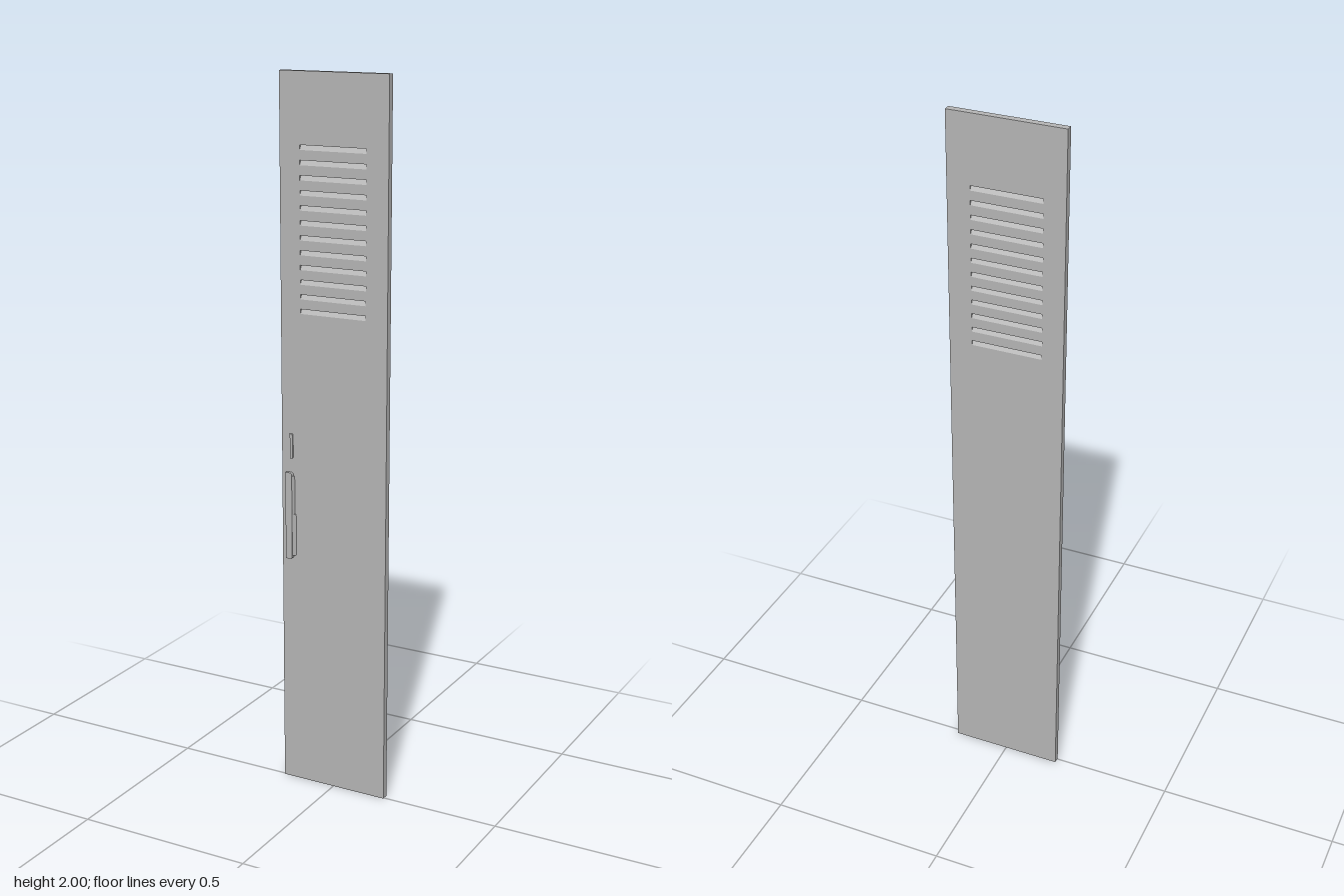
import * as THREE from 'three';

const BACK = -0.015, FRONT = 0.004;

export function createModel() {
  const model = new THREE.Group();
  const steel = new THREE.MeshStandardMaterial({ color: 0xb4b4b4 });
  steel.name = 'grey steel';

  const add = (name, geometry, parent = model) => {
    const mesh = new THREE.Mesh(geometry, steel);
    mesh.name = name;
    parent.add(mesh);
    return mesh;
  };
  const box = (name, x0, x1, y0, y1, z0, z1) =>
    add(name, new THREE.BoxGeometry(x1 - x0, y1 - y0, z1 - z0))
      .position.set((x0 + x1) / 2, (y0 + y1) / 2, (z0 + z1) / 2);

  // Door: solid stiles and rails around the louvred field
  const left = -0.1, right = 0.096, low = 1.34, high = 1.84;
  box('doorStileRight', -0.16, left, 0, 2, BACK, FRONT);
  box('doorStileLeft', right, 0.16, 0, 2, BACK, FRONT);
  box('doorLowerPanel', left, right, 0, low, BACK, FRONT);
  box('doorUpperPanel', left, right, high, 2, BACK, FRONT);

  // Louvres: a side profile notched on both faces, run across the door
  const count = 12, pitch = 0.0394, slotHeight = 0.013, depth = 0.007;
  const profile = new THREE.Shape();
  profile.moveTo(FRONT, low);
  const slotY = i => 1.365 + i * pitch;
  for (let i = 0; i < count; i++) {
    const y = slotY(i);
    profile.lineTo(FRONT, y);
    profile.lineTo(FRONT - depth, y + slotHeight);
    profile.lineTo(FRONT, y + slotHeight);
  }
  profile.lineTo(FRONT, high);
  profile.lineTo(BACK, high);
  for (let i = count - 1; i >= 0; i--) {
    const y = slotY(i);
    profile.lineTo(BACK, y + slotHeight);
    profile.lineTo(BACK + depth, y + slotHeight);
    profile.lineTo(BACK, y);
  }
  profile.lineTo(BACK, low);
  const louvres = new THREE.ExtrudeGeometry(profile, { depth: right - left, bevelEnabled: false });
  louvres.rotateY(-Math.PI / 2); // profile depth to z, run to -x
  louvres.translate(right, 0, 0);
  add('louvrePanel', louvres);

  // Upright plate with rounded corners on its inner edge
  const plate = (x0, x1, y0, y1, r, thickness) => {
    const s = new THREE.Shape();
    s.moveTo(x0, y0);
    s.lineTo(x1 - r, y0);
    s.quadraticCurveTo(x1, y0, x1, y0 + r);
    s.lineTo(x1, y1 - r);
    s.quadraticCurveTo(x1, y1, x1 - r, y1);
    s.lineTo(x0, y1);
    const g = new THREE.ExtrudeGeometry(s, { depth: thickness, bevelEnabled: false, curveSegments: 6 });
    return g.translate(0, 0, FRONT);
  };

  // Handle: raised grip with a sloped inner flank, wider at the lower half
  const handle = new THREE.Group();
  handle.name = 'handle';
  model.add(handle);
  add('handleGrip', plate(-0.145, -0.125, 0.67, 0.92, 0.008, 0.01), handle);
  const flank = (x1, y0, y1) => {
    const s = new THREE.Shape([
      new THREE.Vector2(-0.13, -FRONT), new THREE.Vector2(-0.13, -0.014),
      new THREE.Vector2(-0.126, -0.014), new THREE.Vector2(x1, -FRONT),
    ]);
    const g = new THREE.ExtrudeGeometry(s, { depth: y1 - y0, bevelEnabled: false });
    g.rotateX(-Math.PI / 2);
    return g.translate(0, y0, 0);
  };
  add('handleLowerFlank', flank(-0.117, 0.68, 0.8), handle);
  add('handleUpperFlank', flank(-0.121, 0.8, 0.91), handle);

  // Slim lock tab above the handle
  add('lockTab', plate(-0.133, -0.125, 0.96, 1.03, 0.004, 0.005));

  return model;
}
